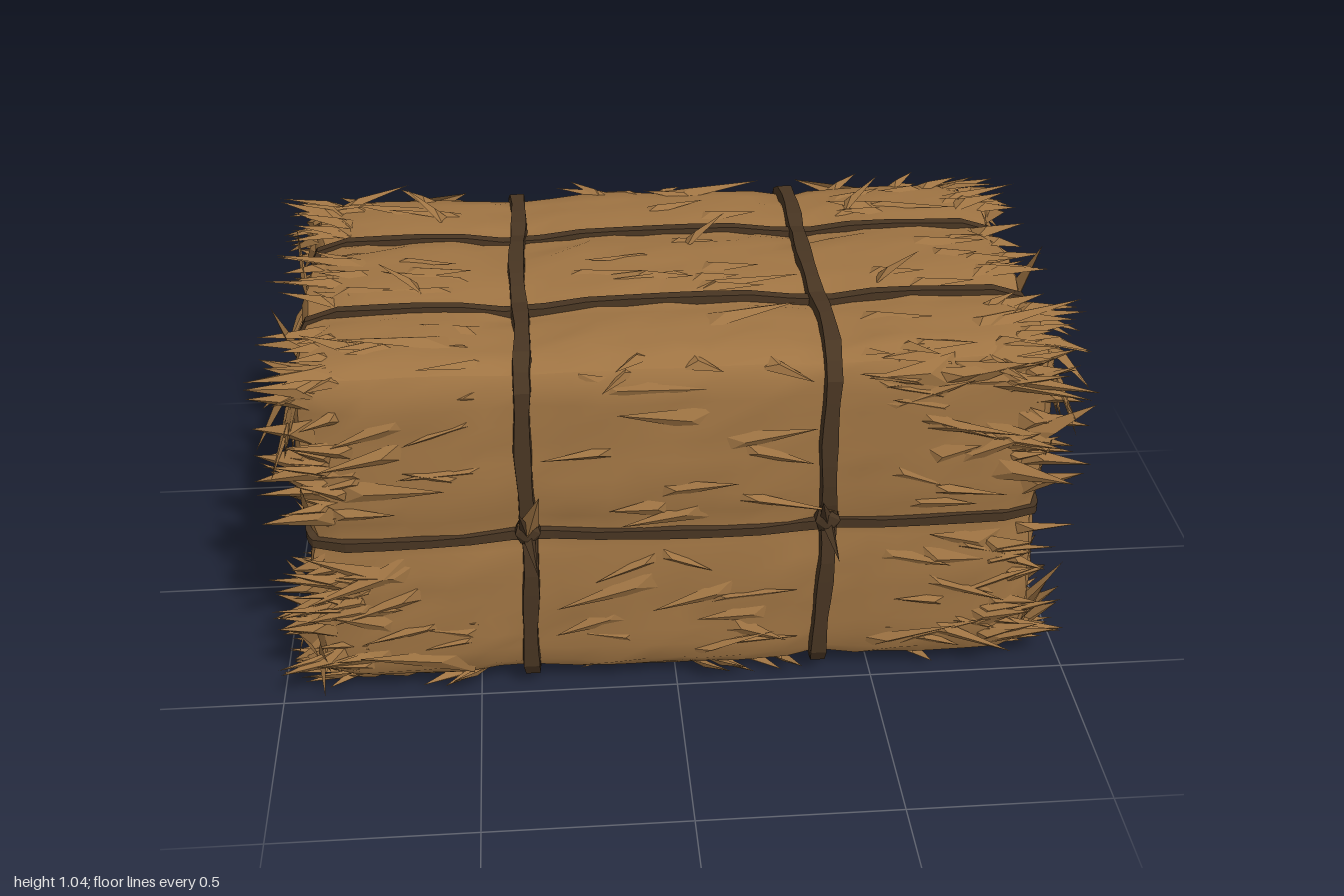
import * as THREE from 'three';
import { mergeGeometries } from 'three/addons/utils/BufferGeometryUtils.js';

const H = new THREE.Vector3(0.905, 0.455, 0.495); // half size of the packed bale
const MID = 0.49, R = 0.07;                       // centre height, corner radius
const STRAP_X = 0.365, STRAP_Z = 0.19, STRAP_Y = -0.01;

let seed = 7;
const rnd = () => {
  seed = (seed * 16807) % 2147483647;
  return seed / 2147483647;
};
const range = (a, b) => a + (b - a) * rnd();
const pick = () => (rnd() < 0.5 ? -1 : 1);
const groove = (d, w) => Math.exp(-(d * d) / (w * w));

// Maps a point on the plain box to the rounded, strapped-in bale (centred on the origin)
function surface(x, y, z) {
  const lim = H.clone().subScalar(R);
  const q = new THREE.Vector3(x, y, z);
  const inner = q.clone().clamp(lim.clone().negate(), lim);
  const n = q.sub(inner).normalize();
  const p = inner.addScaledVector(n, R);
  const ax = Math.abs(x), az = Math.abs(z);
  const squeezeX = 0.02 * groove(ax - STRAP_X, 0.1) + 0.03 * Math.max(0, ax - 0.6);
  const squeezeZ = 0.016 * groove(az - STRAP_Z, 0.06);
  const squeezeY = az > STRAP_Z ? 0.016 * groove(y - STRAP_Y, 0.06) : 0;
  p.x -= n.x * (squeezeZ + squeezeY);
  p.y -= n.y * (squeezeX + squeezeZ - 0.022 * Math.cos(z * 3));
  p.z -= n.z * (squeezeX + squeezeY - 0.018 * Math.cos(y * 3));
  return { p, n };
}

// Flat-faced geometry from a triangle list
function flat(positions) {
  const g = new THREE.BufferGeometry();
  g.setAttribute('position', new THREE.Float32BufferAttribute(positions, 3));
  g.computeVertexNormals();
  return g;
}

// Bale body, jittered by a hash of each grid point so the seams stay shut
function bodyGeometry() {
  const box = new THREE.BoxGeometry(H.x * 2, H.y * 2, H.z * 2, 20, 18, 20);
  const pos = box.attributes.position;
  const hash = (a, b, c, k) => {
    const s = Math.sin(Math.round(a * 500) * 12.99 + Math.round(b * 500) * 78.23 + Math.round(c * 500) * 37.72 + k) * 43758.55;
    return s - Math.floor(s) - 0.5;
  };
  for (let i = 0; i < pos.count; i++) {
    const x = pos.getX(i), y = pos.getY(i), z = pos.getZ(i);
    const { p, n } = surface(x, y, z);
    p.addScaledVector(n, hash(x, y, z, 1) * 0.012);
    p.x += hash(x, y, z, 2) * 0.05 * (1 - Math.abs(n.x));
    pos.setXYZ(i, p.x, p.y, p.z);
  }
  box.computeVertexNormals();
  return box;
}

// Flat-sided band following a path over the surface
function strapGeometry(path, side, width, lift) {
  const last = path.length - 1;
  const rings = path.map((c, i) => {
    const { p, n } = surface(c[0], c[1], c[2]);
    const wob = i % last ? 0.005 * Math.sin(i * 0.6) : 0;
    const w = width * (0.5 + 0.05 * Math.sin((i % last) * 1.7));
    return [[-w, -0.03], [w, -0.03], [w * 0.8, lift], [-w * 0.8, lift]].map(([s, h]) =>
      p.clone().addScaledVector(side, s + wob).addScaledVector(n, h));
  });
  const out = [];
  for (let i = 0; i < last; i++) {
    for (let k = 0; k < 4; k++) {
      const a = rings[i][k], b = rings[i][(k + 1) % 4];
      const c = rings[i + 1][(k + 1) % 4], d = rings[i + 1][k];
      for (const v of [a, b, c, a, c, d]) out.push(v.x, v.y, v.z);
    }
  }
  return flat(out);
}

// Straight runs between corners, divided into even steps
function trace(corners, steps) {
  const pts = [];
  for (let i = 0; i < corners.length - 1; i++) {
    for (let s = 0; s < steps; s++) {
      pts.push(corners[i].map((v, k) => v + (corners[i + 1][k] - v) * (s / steps)));
    }
  }
  pts.push(corners[corners.length - 1]);
  return pts;
}

// True where a blade would cover a strap
function onStrap(p, n, margin) {
  const ax = Math.abs(p.x), az = Math.abs(p.z);
  if (Math.abs(n.x) < 0.7 && Math.abs(ax - STRAP_X) < 0.022 + margin) return true;
  if (Math.abs(n.z) < 0.7 && Math.abs(az - STRAP_Z) < 0.015 + margin) return true;
  return Math.abs(n.y) < 0.7 && az > STRAP_Z && Math.abs(p.y - STRAP_Y) < 0.015 + margin;
}

// One straw blade: two faces meeting on a low ridge, ending in a point
const TIP_MIN = new THREE.Vector3(-1, -0.475, -0.57), TIP_MAX = new THREE.Vector3(1, 0.55, 0.57);
function blade(out, base, dir, length, width, lift) {
  const { p, n } = surface(base[0], base[1], base[2]);
  const d = dir.clone().addScaledVector(n, -dir.dot(n)).normalize().addScaledVector(n, lift).normalize();
  const side = new THREE.Vector3().crossVectors(n, d).normalize();
  const tip = p.clone().addScaledVector(d, length).clamp(TIP_MIN, TIP_MAX);
  for (const t of [0, 0.25, 0.5, 0.75, 1]) {
    if (onStrap(p.clone().lerp(tip, t), n, width * 0.4 * (1 - t) + 0.005)) return;
  }
  const l = p.clone().addScaledVector(side, width / 2).addScaledVector(n, -0.012);
  const r = p.clone().addScaledVector(side, -width / 2).addScaledVector(n, -0.012);
  const m = p.clone().addScaledVector(d, length * 0.3).addScaledVector(n, 0.006);
  for (const v of [l, m, tip, m, r, tip, l, r, m]) out.push(v.x, v.y, v.z);
}

function strawGeometry() {
  const out = [], V = (x, y, z) => new THREE.Vector3(x, y, z);
  // long flat blades combed along the four long faces
  for (let i = 0; i < 520; i++) {
    const s = pick(), x = range(-0.85, 0.85), dirX = rnd() < 0.8 ? Math.sign(x) : -Math.sign(x);
    const base = i % 2 ? [x, s * H.y, range(-0.46, 0.46)] : [x, range(-0.42, 0.42), s * H.z];
    const t = range(-0.4, 0.4);
    blade(out, base, V(dirX, t, t), range(0.13, 0.3), range(0.04, 0.09), range(0.0, 0.1));
  }
  // ragged fringe around both ends
  for (let i = 0; i < 300; i++) {
    const s = pick(), e = pick(), x = e * range(0.72, 0.87);
    const base = i % 2 ? [x, s * H.y, range(-0.48, 0.48)] : [x, range(-0.44, 0.44), s * H.z];
    blade(out, base, V(e, range(-0.45, 0.45), range(-0.45, 0.45)), range(0.1, 0.2), range(0.035, 0.08), range(-0.1, 0.18));
  }
  // blades lying on the end faces, fanning out near the rim
  for (let i = 0; i < 200; i++) {
    const e = pick(), rim = i % 4 > 0;
    const y = rim ? pick() * range(0.34, 0.45) : range(-0.38, 0.38), z = range(-0.46, 0.46);
    const dir = V(0, (rim ? -Math.sign(y) : pick()) * range(0.3, 1), Math.sign(z) * range(0, 0.9));
    blade(out, [e * H.x, y, z], dir, range(0.1, 0.22), range(0.05, 0.1), range(0.02, 0.3));
  }
  // stray tips along the long edges
  for (let i = 0; i < 50; i++) {
    const x = range(-0.88, 0.88), y = pick(), z = pick();
    blade(out, [x, y * H.y, z * range(0.42, 0.48)], V(Math.sign(x) * range(0.5, 1), 0, z * 0.6), range(0.08, 0.14), range(0.03, 0.06), range(0, 0.2));
  }
  // a few straws standing up from the top
  for (const [x, z] of [[-0.6, 0.1], [-0.55, -0.3], [0.06, -0.1], [0.5, -0.3], [0.52, 0.12]]) {
    blade(out, [x, H.y, z], V(Math.sign(x), 0, z), 0.13, 0.05, 0.7);
  }
  return flat(out);
}

// Four-sided pointed tail between two points
function spike(from, to, radius) {
  const a = new THREE.Vector3(...from), d = new THREE.Vector3(...to).sub(a);
  const g = new THREE.ConeGeometry(radius, d.length(), 4).toNonIndexed();
  g.computeVertexNormals();
  g.translate(0, d.length() / 2, 0);
  g.applyQuaternion(new THREE.Quaternion().setFromUnitVectors(new THREE.Vector3(0, 1, 0), d.clone().normalize()));
  return g.translate(a.x, a.y, a.z);
}

export function createModel() {
  const model = new THREE.Group();
  const straw = new THREE.MeshStandardMaterial({ color: 0x9f7443, side: THREE.DoubleSide });
  straw.name = 'straw';
  const twine = new THREE.MeshStandardMaterial({ color: 0x483522, side: THREE.DoubleSide });
  twine.name = 'dark twine';
  const add = (name, geo, mat) => {
    const m = new THREE.Mesh(geo, mat);
    m.name = name;
    m.position.y = MID;
    model.add(m);
  };

  add('baleBody', bodyGeometry(), straw);
  add('looseStraw', strawGeometry(), straw);

  const X = new THREE.Vector3(1, 0, 0), Y = new THREE.Vector3(0, 1, 0), Z = new THREE.Vector3(0, 0, 1);
  const { x: hx, y: hy, z: hz } = H;
  for (const s of [-1, 1]) {
    // strap around the girth
    const x = s * STRAP_X;
    add('girthStrap', strapGeometry(trace([[x, hy, hz], [x, hy, -hz], [x, -hy, -hz], [x, -hy, hz], [x, hy, hz]], 16), X, 0.046, 0.03), twine);
    // strap running lengthwise over top, ends and bottom
    const z = s * STRAP_Z;
    add('lengthStrap', strapGeometry(trace([[hx, hy, z], [-hx, hy, z], [-hx, -hy, z], [hx, -hy, z], [hx, hy, z]], 18), Z, 0.034, 0.016), twine);
    // strap along a side, turning in to the lengthwise straps
    add('sideStrap', strapGeometry(trace([[-hx, STRAP_Y, z], [-hx, STRAP_Y, s * hz], [hx, STRAP_Y, s * hz], [hx, STRAP_Y, z]], 18), Y, 0.03, 0.016), twine);

    // knots where girth and side straps cross
    for (const e of [-1, 1]) {
      const kx = e * STRAP_X, kz = s * 0.5;
      const lump = new THREE.IcosahedronGeometry(0.036, 0).scale(1, 1.2, 0.8).translate(kx, 0.01, kz);
      const tails = [
        spike([kx, 0, kz], [kx + 0.02, -0.06, s * 0.59], 0.018),
        spike([kx, 0, kz], [kx - 0.02, 0.09, s * 0.55], 0.02),
      ];
      add('knot', mergeGeometries([lump, ...tails]), twine);
      if (e < 0) add('knotStraw', spike([kx, 0.02, kz], [kx + 0.03, 0.16, s * 0.585], 0.028), straw);
    }
  }
  return model;
}
